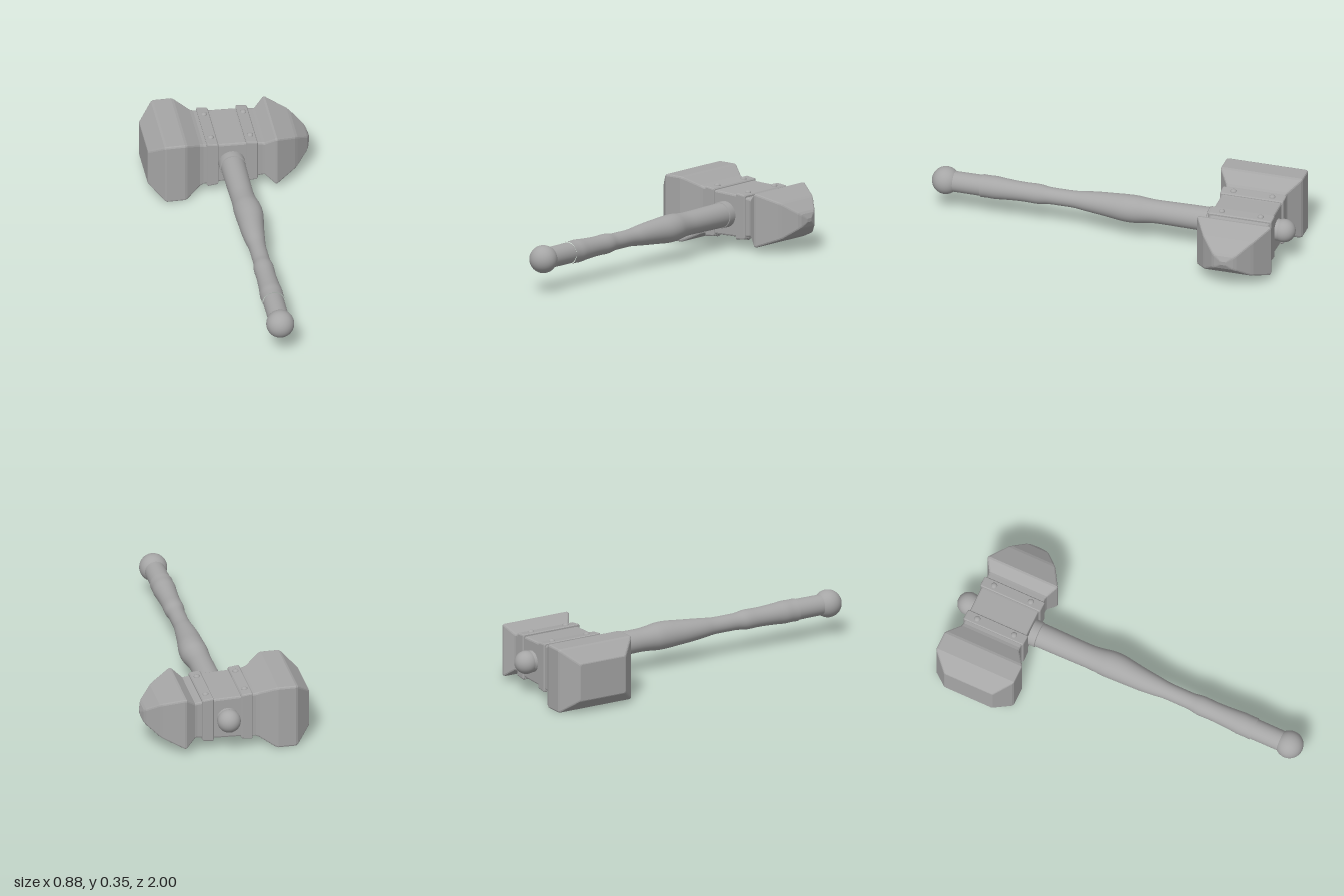
import * as THREE from 'three';

const grey = new THREE.MeshStandardMaterial({ color: 0xa6a6a6 });
grey.name = 'plain grey';

const AXIS_Y = 0.179, HEAD_Z = -0.735;

// Lofts chamfered rectangles along x; each section is [x, half height, half depth]
function loftBlock(sections, chamfer) {
  const rings = sections.map(([x, h, d]) => {
    const c = Math.min(chamfer, h * 0.4, d * 0.4);
    const k = c * 0.29;
    const ring = [];
    for (const [sy, sz, flip] of [[1, 1, 0], [-1, 1, 1], [-1, -1, 0], [1, -1, 1]]) {
      // three-point rounded corner, running counter-clockwise about x
      const corner = [[h, d - c], [h - k, d - k], [h - c, d]];
      if (flip) corner.reverse();
      for (const [y, z] of corner) ring.push([x, y * sy, z * sz]);
    }
    return ring;
  });
  const pos = [];
  const tri = (a, b, c) => pos.push(...a, ...b, ...c);
  const n = rings[0].length, last = rings.length - 1;
  for (let i = 0; i < n; i++) {
    const j = (i + 1) % n;
    for (let s = 0; s < last; s++) {
      tri(rings[s][i], rings[s][j], rings[s + 1][j]);
      tri(rings[s][i], rings[s + 1][j], rings[s + 1][i]);
    }
    tri([sections[0][0], 0, 0], rings[0][j], rings[0][i]);
    tri([sections[last][0], 0, 0], rings[last][i], rings[last][j]);
  }
  const geo = new THREE.BufferGeometry();
  geo.setAttribute('position', new THREE.Float32BufferAttribute(pos, 3));
  geo.computeVertexNormals();
  return geo;
}

// Turned shape along z from [z, radius] pairs in rising z
function turned(points) {
  const geo = new THREE.LatheGeometry(points.map(([z, r]) => new THREE.Vector2(r, z)), 40);
  return geo.rotateX(Math.PI / 2);
}

export function createModel() {
  const model = new THREE.Group();
  model.name = 'warHammer';
  const add = (name, geo, x, y, z, parent = model) => {
    const mesh = new THREE.Mesh(geo, grey);
    mesh.name = name;
    mesh.position.set(x, y, z);
    parent.add(mesh);
    return mesh;
  };

  // Head: broad striking block, waist and tapering beak
  const head = new THREE.Group();
  head.name = 'head';
  head.position.set(0, AXIS_Y, HEAD_Z);
  model.add(head);
  add('hammerBlock', loftBlock([
    [-0.443, 0.1, 0.137], [-0.441, 0.105, 0.142],
    [-0.366, 0.171, 0.22], [-0.354, 0.176, 0.226],
    [-0.258, 0.176, 0.226], [-0.244, 0.172, 0.221],
    [-0.168, 0.132, 0.169], [-0.15, 0.126, 0.165],
    [-0.06, 0.118, 0.165], [0.07, 0.114, 0.165],
    [0.165, 0.103, 0.165], [0.178, 0.102, 0.168],
    [0.229, 0.143, 0.202], [0.24, 0.144, 0.203],
    [0.345, 0.102, 0.14], [0.36, 0.094, 0.127],
    [0.42, 0.047, 0.068], [0.43, 0.036, 0.052], [0.441, 0.01, 0.016],
  ], 0.01), 0, 0, 0, head);

  // Bands with rivets above and below
  for (const [side, x0, x1, h0, h1] of [
    ['right', -0.132, -0.07, 0.136, 0.128], ['left', 0.078, 0.14, 0.126, 0.119]]) {
    const slope = (h1 - h0) / (x1 - x0), e = 0.005;
    add(side + 'Band', loftBlock([
      [x0, h0 - e, 0.174 - e], [x0 + e, h0 + slope * e, 0.175],
      [x1 - e, h1 - slope * e, 0.175], [x1, h1 - e, 0.174 - e],
    ], 0.008), 0, 0, 0, head);
    const xm = (x0 + x1) / 2;
    for (const sy of [1, -1]) for (const dz of [-0.107, 0.107]) {
      const rivet = add(side + 'Rivet', new THREE.SphereGeometry(0.017, 16, 10),
        xm, sy * ((h0 + h1) / 2 - 0.001), dz, head);
      rivet.scale.y = 0.7;
    }
  }

  // Carved grip, with a slight sideways swelling below the head
  const profile = [
    [-0.6, 0.066], [-0.45, 0.065], [-0.3, 0.063], [-0.23, 0.063], [-0.18, 0.067],
    [-0.13, 0.073], [-0.07, 0.073], [0, 0.067], [0.08, 0.06], [0.15, 0.053],
    [0.21, 0.046], [0.3, 0.045], [0.36, 0.046], [0.41, 0.053], [0.48, 0.052],
    [0.53, 0.053], [0.6, 0.057], [0.65, 0.061], [0.69, 0.06], [0.725, 0.061]];
  const curve = new THREE.CatmullRomCurve3(profile.map(([z, r]) => new THREE.Vector3(r, z, 0)));
  const grip = turned(curve.getPoints(90).map(p => [p.y, p.x]));
  const pos = grip.attributes.position;
  for (let i = 0; i < pos.count; i++) {
    const t = (pos.getZ(i) + 0.08) / 0.11;
    pos.setX(i, pos.getX(i) + 0.009 * Math.exp(-t * t));
  }
  grip.computeVertexNormals();
  add('grip', grip, 0.002, AXIS_Y, 0);

  // Collar under the head, end ferrule and pommel
  add('collar', turned([[-0.58, 0.066], [-0.575, 0.07], [-0.53, 0.07], [-0.525, 0.068], [-0.525, 0.05]]),
    0.001, AXIS_Y, 0);
  add('ferrule', turned([[0.72, 0], [0.72, 0.055], [0.722, 0.056], [0.9, 0.055]]), 0.002, AXIS_Y, 0);
  add('pommel', new THREE.SphereGeometry(0.074, 40, 28), 0.002, AXIS_Y, 0.926);

  // Rounded butt at the back of the head
  add('buttNeck', turned([[-0.935, 0.055], [-0.925, 0.058], [-0.89, 0.058]]), 0.003, AXIS_Y, 0);
  add('butt', new THREE.SphereGeometry(0.062, 36, 24), 0.003, AXIS_Y, -0.938);

  return model;
}
